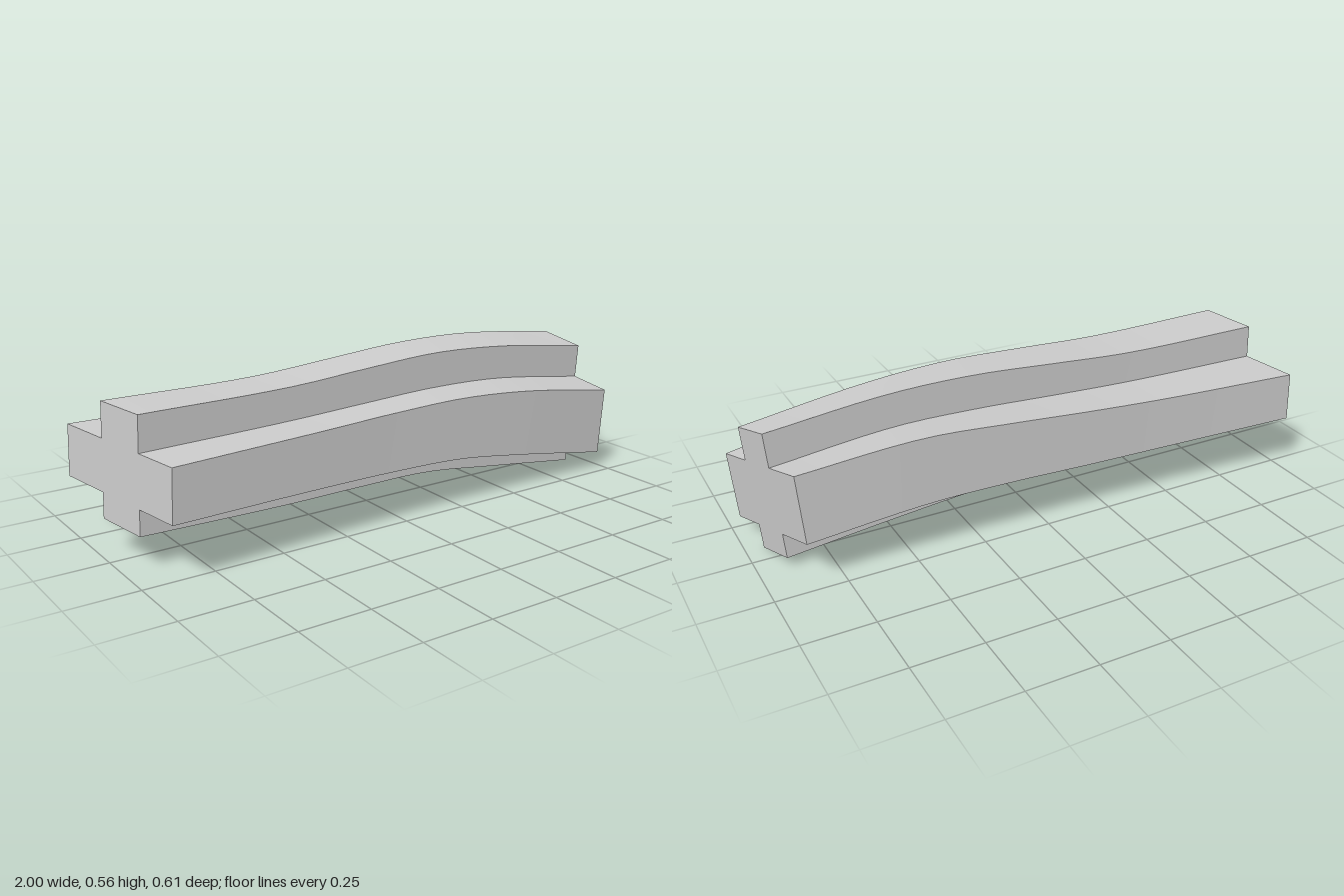
import * as THREE from 'three';

// Stations along the beam: position, then the cross-shaped section there
const stationX = [-0.955, -0.4, -0.1, 0.2, 0.5, 0.94];
const sections = [
  // armFront, armBack, armTop, armBottom, ribFront, ribBack, top, bottom, slope
  0.305, -0.305, 0.392, 0.210, 0.125, -0.090, 0.515, 0.120, 0.000,
  0.270, -0.270, 0.400, 0.204, 0.110, -0.086, 0.516, 0.106, 0.000,
  0.253, -0.262, 0.412, 0.202, 0.102, -0.085, 0.535, 0.107, 0.020,
  0.243, -0.258, 0.424, 0.199, 0.094, -0.084, 0.552, 0.105, 0.065,
  0.233, -0.251, 0.420, 0.176, 0.086, -0.083, 0.543, 0.074, 0.150,
  0.210, -0.234, 0.368, 0.115, 0.075, -0.081, 0.492, 0.020, 0.236,
];
const SEGMENTS = 24;

// Twelve corners of the section, counter-clockwise seen from +x
function makeRing(curve, t) {
  const x = THREE.MathUtils.lerp(stationX[0], stationX.at(-1), t);
  const [af, ab, at, abot, rf, rb, top, bot, slope] = curve.evaluate(x);
  const tiltZ = THREE.MathUtils.lerp(0.148, 0.25, t);
  const tiltY = THREE.MathUtils.lerp(0.04, 0.08, t);
  return [
    [rb, top], [rf, top], [rf, at], [af, at], [af, abot], [rf, abot],
    [rf, bot], [rb, bot], [rb, abot], [ab, abot], [ab, at], [rb, at],
  ].map(([z, h]) => {
    const y = h - slope * z;
    return new THREE.Vector3(x + tiltZ * z + tiltY * (y - 0.28), y, z);
  });
}

function buildGeometry(points, index) {
  const geometry = new THREE.BufferGeometry().setFromPoints(points);
  geometry.setIndex(index);
  geometry.computeVertexNormals();
  return geometry;
}

export function createModel() {
  const group = new THREE.Group();
  group.name = 'twistedCrossBeam';
  const material = new THREE.MeshStandardMaterial({ color: 0xcccccc });
  const add = (name, points, index) => {
    const mesh = new THREE.Mesh(buildGeometry(points, index), material);
    mesh.name = name;
    group.add(mesh);
  };

  const curve = new THREE.CubicInterpolant(stationX, sections, 9);
  const rings = [];
  for (let i = 0; i <= SEGMENTS; i++) rings.push(makeRing(curve, i / SEGMENTS));

  // Long sides: each strip is smooth lengthwise and sharp at its corners
  const points = [], index = [];
  for (let e = 0; e < 12; e++) {
    const base = points.length;
    rings.forEach((ring, i) => {
      points.push(ring[e], ring[(e + 1) % 12]);
      if (i === SEGMENTS) return;
      const a = base + i * 2;
      index.push(a, a + 1, a + 2, a + 1, a + 3, a + 2);
    });
  }
  add('beamSides', points, index);

  // Flat slanted ends
  const addEnd = (name, ring, flip) => {
    const outline = ring.map((p) => new THREE.Vector2(-p.z, p.y));
    const faces = THREE.ShapeUtils.triangulateShape(outline, []);
    add(name, ring, faces.flatMap(([a, b, c]) => (flip ? [a, c, b] : [a, b, c])));
  };
  addEnd('leftEnd', rings[SEGMENTS], false);
  addEnd('rightEnd', rings[0], true);

  return group;
}
